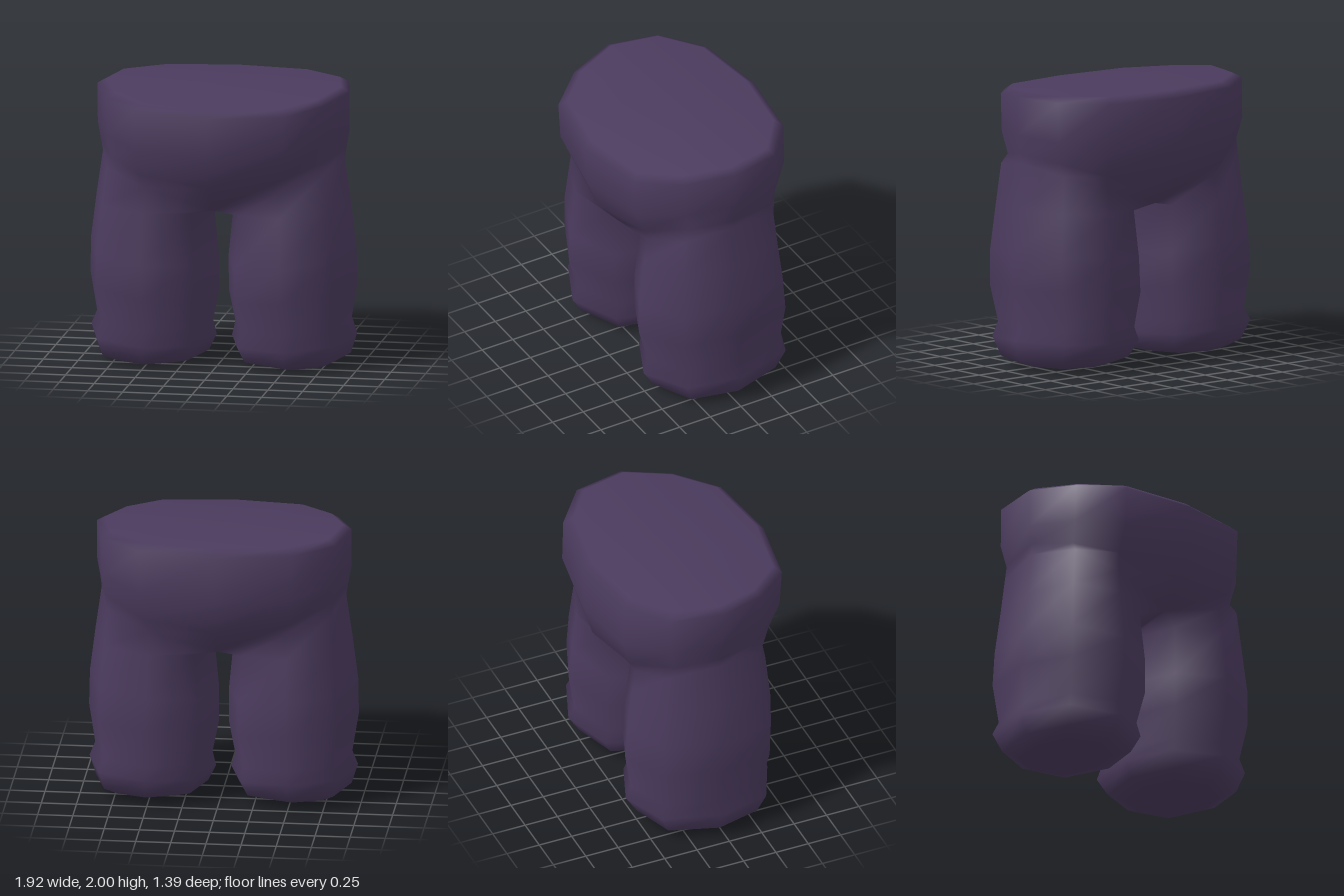
import * as THREE from 'three';
import { mergeGeometries, mergeVertices } from 'three/addons/utils/BufferGeometryUtils.js';

const mirror = ([x, ...rest]) => [-x, ...rest];

// Unit outlines [x, z], listed from the front (+z) round through +x
const SIDE = [[0.59, 0.87], [0.86, 0.485], [1, -0.01], [0.92, -0.55], [0.595, -0.89]];
const WAIST = [[0, 1], ...SIDE, [0, -1], ...SIDE.map(mirror).reverse()];
const D = 0.76;
const LEG = [[0, 1], [D, 0.71], [1, 0], [D, -D], [0, -1], [-D, -D], [-1, 0], [-D, 0.71]];

// Seam where a leg meets the hips (front to back round the outside), and the crotch line
const SEAM = [
  [0.48, 1.315, 0.47], [0.78, 1.43, 0.335], [0.87, 1.48, -0.02], [0.79, 1.43, -0.385], [0.48, 1.315, -0.50],
];
const CROTCH = [[0, 1.165, -0.445], [0, 1.098, -0.01], [0, 1.165, 0.435]];

// Skin over rings of points (bottom to top), closed at one end around a centre point
function loft(rings, centre, closeTop) {
  const n = rings[0].length, pos = [...rings.flat(2), ...centre], index = [];
  const start = closeTop ? (rings.length - 1) * n : 0, c = rings.length * n;
  for (let j = 0; j < n; j++) {
    const k = (j + 1) % n;
    for (let i = 0; i < rings.length - 1; i++) {
      const a = i * n + j, b = i * n + k;
      index.push(a, b, b + n, a, b + n, a + n);
    }
    index.push(...(closeTop ? [start + j, start + k, c] : [start + k, start + j, c]));
  }
  const g = new THREE.BufferGeometry();
  g.setAttribute('position', new THREE.Float32BufferAttribute(pos, 3));
  g.setIndex(index);
  return g;
}

function hipGeometry() {
  // [y, half width, front z, back z, drop of y per unit of forward z, rise towards the sides]
  const levels = [
    [1.355, 0.882, 0.59, 0.62, 0, 0.20],
    [1.61, 0.905, 0.68, 0.695, 0.04, 0.08],
    [1.95, 0.907, 0.70, 0.685, 0.10, 0.015],
    [2.00, 0.845, 0.64, 0.62, 0.11, 0],
  ];
  const rings = levels.map(([y, w, f, b, drop, rise]) => WAIST.map(([x, z]) => {
    const pz = z * (z > 0 ? f : b);
    return [x * w, y - drop * Math.max(pz, 0) + rise * x * x, pz];
  }));
  const seam = [CROTCH[2], ...SEAM, CROTCH[0], ...SEAM.map(mirror).reverse()];
  return loft([seam, ...rings], [0, 2, 0], true);
}

function legGeometry(side) {
  // [y, inner x, outer x, front z, back z, rise outward, drop forward]
  const levels = [
    [0.02, 0.24, 0.80, 0.31, -0.40, 0, 0.045],
    [0.065, 0.11, 0.91, 0.43, -0.50, 0.02, 0.045],
    [0.195, 0.055, 0.955, 0.51, -0.585, 0.05, 0.05],
    [0.295, 0.08, 0.915, 0.475, -0.545, 0.05, 0.03],
    [0.55, 0.035, 0.96, 0.54, -0.585, 0.10, 0.06],
    [0.80, 0.035, 0.955, 0.54, -0.565, 0.10, 0.06],
    [1.14, 0.07, 0.915, 0.50, -0.53, 0.06, 0.01],
  ];
  const rings = levels.map(([y, xi, xo, f, b, rise, drop]) => {
    const rx = (xo - xi) / 2, cx = (xo + xi) / 2, rz = (f - b) / 2, cz = (f + b) / 2;
    return LEG.map(([x, z]) => [cx + x * rx, y + rise * x * rx - drop * z * rz, cz + z * rz]);
  });
  rings.push([...SEAM, ...CROTCH]);
  return loft(side > 0 ? rings : rings.map((r) => r.map(mirror).reverse()), [side * 0.52, 0.02, -0.045], false);
}

export function createModel() {
  const group = new THREE.Group();
  group.name = 'trousers';
  const cloth = new THREE.MeshStandardMaterial({ color: 0x4b3b5e });
  cloth.name = 'dark purple cloth';

  // Hips and legs are welded along the seam so the shading runs smoothly across it
  const skin = mergeVertices(mergeGeometries([hipGeometry(), legGeometry(1), legGeometry(-1)]));
  skin.computeVertexNormals();
  const mesh = new THREE.Mesh(skin, cloth);
  mesh.name = 'hipsAndLegs';
  group.add(mesh);
  return group;
}
